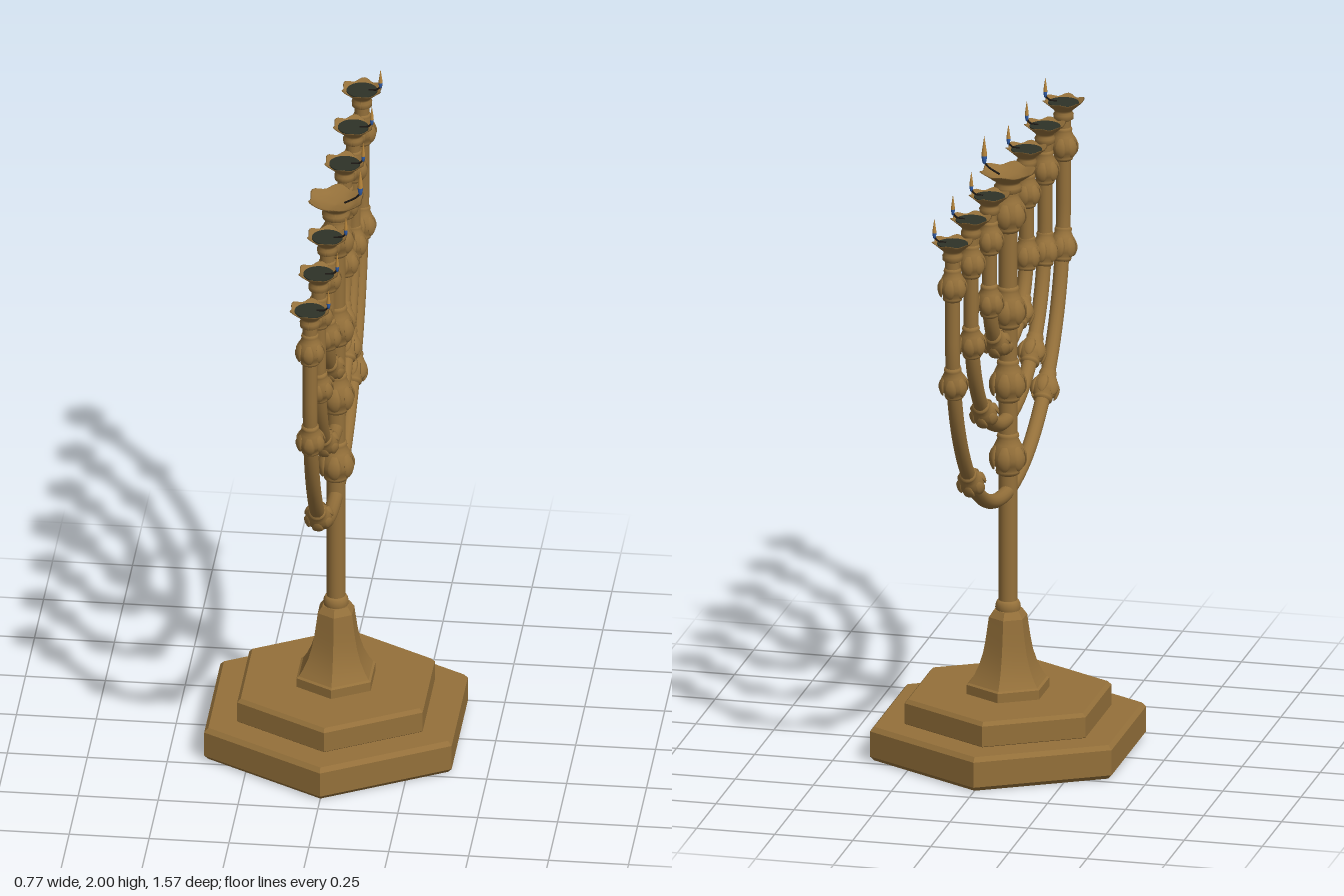
import * as THREE from 'three';
import { toCreasedNormals } from 'three/addons/utils/BufferGeometryUtils.js';

const mat = (name, color, side = THREE.FrontSide) => {
  const m = new THREE.MeshStandardMaterial({ color, side });
  m.name = name;
  return m;
};
const v2 = (pts) => pts.map(([r, y]) => new THREE.Vector2(r, y));

// Semicircle in the yz plane that continues straight up at both ends
class ArmCurve extends THREE.Curve {
  constructor(radius, centreY, topY) {
    super();
    Object.assign(this, { radius, centreY, rise: topY - centreY });
  }
  getPoint(t, target = new THREE.Vector3()) {
    const arc = Math.PI * this.radius;
    const s = (t - 0.5) * (arc + 2 * this.rise);
    const side = Math.sign(s);
    const a = Math.min(Math.abs(s), arc / 2) / this.radius;
    const up = Math.max(0, Math.abs(s) - arc / 2);
    return target.set(0, this.centreY - this.radius * Math.cos(a) + up, side * this.radius * Math.sin(a));
  }
}

export function createModel() {
  const root = new THREE.Group();
  root.name = 'candelabrum';
  const brass = mat('brass', 0x94703a, THREE.DoubleSide);
  const oil = mat('dark oil', 0x2e3328);
  const wickBlack = mat('wick black', 0x1c1814);
  const blue = mat('flame blue', 0x3060b0);
  const amber = mat('flame amber', 0xb8863c);

  const add = (parent, name, geo, material, x = 0, y = 0, z = 0) => {
    const m = new THREE.Mesh(geo, material);
    m.name = name;
    m.position.set(x, y, z);
    parent.add(m);
    return m;
  };
  const lathe = (pts, seg = 20) => new THREE.LatheGeometry(v2(pts), seg);
  const hex = (pts) => toCreasedNormals(lathe(pts, 6), 0.35);

  // Stepped hexagonal base
  const step = (r, y0, y1, c) => hex([[0, y0], [r - c, y0], [r, y0 + c], [r, y1 - c], [r - c, y1], [0, y1]]);
  add(root, 'lowerStep', step(0.447, 0, 0.11, 0.014), brass);
  add(root, 'upperStep', step(0.335, 0.1, 0.19, 0.012), brass);
  add(root, 'foot', hex([
    [0.134, 0.18], [0.134, 0.22], [0.126, 0.225], [0.112, 0.245], [0.094, 0.28], [0.081, 0.32],
    [0.073, 0.36], [0.067, 0.4], [0.062, 0.435], [0.046, 0.457], [0, 0.457],
  ]), brass);

  // Stem with a collar above the foot
  add(root, 'stem', new THREE.CylinderGeometry(0.029, 0.029, 1.42, 20), brass, 0, 1.15, 0);
  add(root, 'stemCollar', toCreasedNormals(lathe([
    [0.029, 0.45], [0.038, 0.455], [0.04, 0.465], [0.038, 0.477], [0.034, 0.485], [0.029, 0.488],
  ]), 0.6), brass);

  // Bud knob: turned bulb wrapped in pointed sepals
  const bulbGeo = lathe([
    [0.022, -0.052], [0.03, -0.047], [0.032, -0.04], [0.03, -0.033], [0.039, -0.02], [0.043, -0.005],
    [0.041, 0.015], [0.033, 0.034], [0.027, 0.046], [0.029, 0.053], [0.027, 0.06], [0.021, 0.064],
  ]);
  const sepalGeo = new THREE.SphereGeometry(1, 8, 8);
  const sp = sepalGeo.attributes.position;
  for (let i = 0; i < sp.count; i++) {
    // Point the tip and curl it around the bulb
    const y = sp.getY(i);
    const w = y > 0 ? 1 - 0.35 * y : 1;
    sp.setXYZ(i, sp.getX(i) * 0.019 * w, y * 0.036, sp.getZ(i) * 0.007 * w - 0.009 * y * y);
  }
  sepalGeo.computeVertexNormals();
  const knob = (y, z, tilt, scale) => {
    const g = new THREE.Group();
    g.name = 'budKnob';
    add(g, 'bulb', bulbGeo, brass);
    for (let k = 0; k < 6; k++) {
      const pivot = new THREE.Group();
      pivot.name = 'sepal';
      pivot.rotation.y = (k * Math.PI) / 3;
      add(pivot, 'leaf', sepalGeo, brass, 0, 0.002, 0.042).rotation.x = -0.15;
      g.add(pivot);
    }
    g.position.set(0, y, z);
    g.rotation.x = tilt;
    g.scale.setScalar(scale);
    root.add(g);
  };

  // Flower-shaped cup with a ruffled rim, turned from a profile
  const cupGeo = lathe([
    [0.023, -0.055], [0.031, -0.05], [0.032, -0.035], [0.027, -0.028], [0.03, -0.02],
    [0.042, -0.01], [0.053, 0.0], [0.063, 0.008], [0.06, 0.009], [0.048, 0.0], [0.034, -0.009], [0, -0.013],
  ], 48);
  const cp = cupGeo.attributes.position;
  for (let i = 0; i < cp.count; i++) {
    const x = cp.getX(i), z = cp.getZ(i), r = Math.hypot(x, z);
    const f = Math.max(0, (r - 0.035) / 0.028);
    const wave = Math.cos(6 * Math.atan2(x, z));
    const k = 1 + 0.07 * f * wave;
    cp.setXYZ(i, x * k, cp.getY(i) + 0.004 * f * wave, z * k);
  }
  cupGeo.computeVertexNormals();

  const flameBase = lathe([[0, 0], [0.004, 0.004], [0.006, 0.014], [0.0065, 0.022]], 10);
  const flameTip = lathe([[0.0065, 0.022], [0.006, 0.032], [0.004, 0.046], [0.002, 0.06], [0, 0.072]], 10);

  const lamp = (z, centre) => {
    const g = new THREE.Group();
    g.name = centre ? 'centreLamp' : 'sideLamp';
    const s = centre ? 1.36 : 1;
    add(g, 'cup', cupGeo, brass).scale.set(s, centre ? 1.1 : 1, s);
    if (!centre) add(g, 'oilSurface', new THREE.CylinderGeometry(0.048, 0.048, 0.006, 24), oil, 0, 0.001, 0);
    const fx = centre ? 0.076 : 0.058, fy = centre ? 0.024 : 0.012;
    const path = new THREE.CatmullRomCurve3([
      new THREE.Vector3(fx * 0.35, centre ? -0.004 : 0.004, 0),
      new THREE.Vector3(fx * 0.8, fy * 0.65, 0),
      new THREE.Vector3(fx, fy + 0.008, 0),
    ]);
    add(g, 'wick', new THREE.TubeGeometry(path, 8, 0.003, 6), wickBlack);
    const flame = new THREE.Group();
    flame.name = 'flame';
    add(flame, 'flameBase', flameBase, blue);
    add(flame, 'flameTip', flameTip, amber);
    flame.position.set(fx, fy, 0);
    flame.scale.setScalar(centre ? 1.3 : 0.94);
    g.add(flame);
    g.position.set(0, 1.882, z);
    root.add(g);
  };

  // Knobs and lamp on the stem
  for (const y of [0.96, 1.2, 1.44, 1.755]) knob(y, 0, 0, 1.22);
  lamp(0, true);

  // Three nested pairs of arms: radius, angle of lower knob, height of upper knob
  const centreY = 1.562;
  for (const [radius, lowAngle, upperY] of [[0.718, 0.73, 1.42], [0.478, 0.71, 1.48], [0.24, 0.7, 1.54]]) {
    const curve = new ArmCurve(radius, centreY, 1.86);
    add(root, 'armPair', new THREE.TubeGeometry(curve, 96, 0.023, 14), brass);
    for (const side of [-1, 1]) {
      for (const a of [lowAngle, Math.acos((centreY - upperY) / radius)]) {
        knob(centreY - radius * Math.cos(a), side * radius * Math.sin(a), side * (Math.PI / 2 - a), 0.96);
      }
      knob(1.745, side * radius, 0, 0.96);
      lamp(side * radius, false);
    }
  }
  return root;
}
